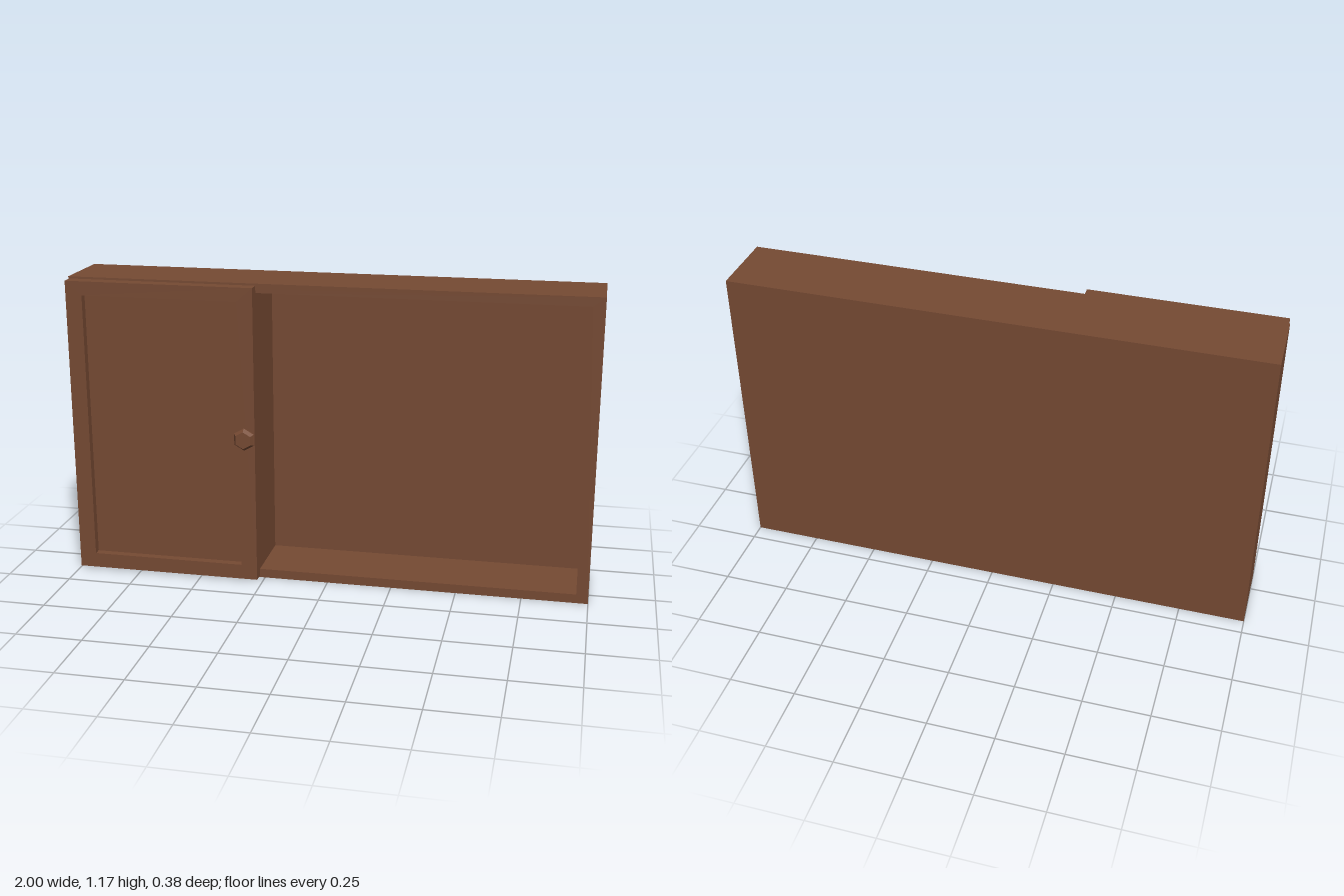
import * as THREE from 'three';

export function createModel() {
  const model = new THREE.Group();
  model.name = 'cabinet';
  const wood = new THREE.MeshStandardMaterial({ color: 0x764a33 });
  wood.name = 'brown wood';

  const add = (name, geometry, parent) => {
    const mesh = new THREE.Mesh(geometry, wood);
    mesh.name = name;
    parent.add(mesh);
    return mesh;
  };

  // Box given by its limits on each axis
  const slab = (name, parent, x0, x1, y0, y1, z0, z1) => {
    const g = new THREE.BoxGeometry(x1 - x0, y1 - y0, z1 - z0);
    g.translate((x0 + x1) / 2, (y0 + y1) / 2, (z0 + z1) / 2);
    return add(name, g, parent);
  };

  const rect = (Type, x0, x1, y0, y1) => {
    const p = new Type();
    p.moveTo(x0, y0);
    p.lineTo(x1, y0);
    p.lineTo(x1, y1);
    p.lineTo(x0, y1);
    p.closePath();
    return p;
  };

  // Rectangular frame with rectangular openings, extruded from z0 to z1
  const frame = (name, parent, outer, holes, z0, z1) => {
    const shape = rect(THREE.Shape, ...outer);
    holes.forEach((h) => shape.holes.push(rect(THREE.Path, ...h)));
    const g = new THREE.ExtrudeGeometry(shape, { depth: z1 - z0, bevelEnabled: false });
    g.translate(0, 0, z0);
    return add(name, g, parent);
  };

  // Case: outer walls with a divider, closed by a back board
  const body = new THREE.Group();
  body.name = 'case';
  model.add(body);
  frame('caseWalls', body, [-1, 1, 0, 1.17],
    [[-0.955, -0.315, 0.035, 1.135], [-0.27, 0.955, 0.035, 1.135]], -0.168, 0.082);
  slab('backBoard', body, -1, 1, 0, 1.17, -0.188, -0.168);

  // Door: raised frame around a recessed panel
  const door = new THREE.Group();
  door.name = 'door';
  model.add(door);
  frame('doorFrame', door, [-0.996, -0.27, 0.008, 1.162],
    [[-0.932, -0.332, 0.066, 1.108]], 0.082, 0.129);
  slab('doorPanel', door, -0.932, -0.332, 0.066, 1.108, 0.082, 0.099);

  // Six-sided faceted knob
  const profile = [[0.027, 0], [0.0435, 0.043], [0.033, 0.059], [0, 0.059]]
    .map(([r, h]) => new THREE.Vector2(r, h));
  const knob = new THREE.LatheGeometry(profile, 6).toNonIndexed();
  knob.computeVertexNormals();
  knob.rotateX(Math.PI / 2);
  add('knob', knob, door).position.set(-0.3, 0.594, 0.129);

  return model;
}
